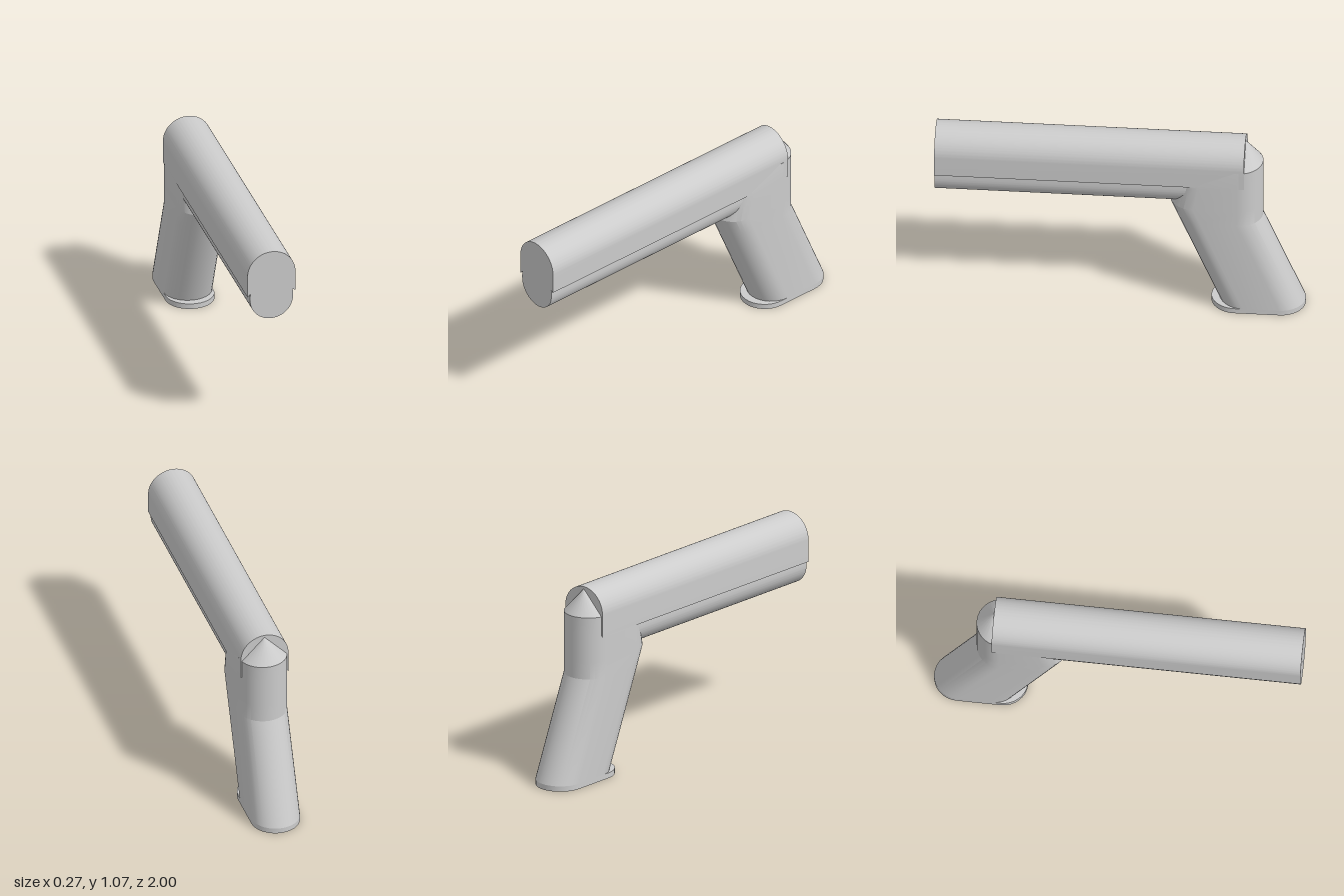
import * as THREE from 'three';
import { toCreasedNormals } from 'three/addons/utils/BufferGeometryUtils.js';

const SEG = 16; // steps per half circle

function addMesh(group, name, geometry) {
  const mat = new THREE.MeshStandardMaterial({ color: 0xcccccc, side: THREE.DoubleSide });
  const mesh = new THREE.Mesh(toCreasedNormals(geometry, 0.3), mat);
  mesh.name = name;
  group.add(mesh);
  return mesh;
}

// Extrude an xy outline between two z positions
function extrudeZ(shape, zBack, zFront) {
  const g = new THREE.ExtrudeGeometry(shape, { depth: zFront - zBack, bevelEnabled: false, curveSegments: 32 });
  return g.translate(0, 0, zBack);
}

// Loft stadium-shaped rings given as [y, zFront, zBack, radius]
function loftStadiums(levels) {
  const pos = [], idx = [], n = 2 * (SEG + 1);
  for (const [y, zf, zb, r] of levels) {
    for (let i = 0; i < n; i++) {
      const front = i <= SEG;
      const a = (Math.PI * (front ? i : i - 1)) / SEG;
      const cz = front ? zf - r : zb + r;
      pos.push(r * Math.cos(a), y, cz + r * Math.sin(a));
    }
  }
  for (let k = 0; k < levels.length - 1; k++) {
    for (let i = 0; i < n; i++) {
      const j = (i + 1) % n, a = k * n + i, b = k * n + j;
      idx.push(a, a + n, b, b, a + n, b + n);
    }
  }
  // end caps
  const top = (levels.length - 1) * n;
  for (let i = 1; i < n - 1; i++) {
    idx.push(0, i, i + 1);
    idx.push(top, top + i + 1, top + i);
  }
  const g = new THREE.BufferGeometry();
  g.setAttribute('position', new THREE.Float32BufferAttribute(pos, 3));
  g.setIndex(idx);
  return g;
}

export function createModel() {
  const group = new THREE.Group();

  // Upper slide: arched shell resting over the lower tube
  const R = 0.134;
  const slide = new THREE.Shape();
  slide.moveTo(R, 0.825);
  slide.lineTo(R, 0.94);
  slide.absarc(0, 0.94, R, 0, Math.PI, false);
  slide.lineTo(-R, 0.815);
  slide.absarc(0, 0.81, 0.12, Math.PI - 0.2, 0.2, true);
  slide.closePath();
  addMesh(group, 'slide', extrudeZ(slide, -0.675, 1));

  // Lower tube, slightly narrower, its rear end buried in the grip
  const tube = new THREE.Shape();
  tube.absarc(0, 0.81, 0.12, 0, Math.PI, false);
  tube.absarc(0, 0.793, 0.12, Math.PI, Math.PI * 2, false);
  tube.closePath();
  addMesh(group, 'lowerTube', extrudeZ(tube, -0.45, 1));

  // Raked grip with upright neck and pointed rear cap
  const grip = addMesh(group, 'grip', loftStadiums([
    [0.03, -0.535, -1, 0.134],
    [0.58, -0.304, -0.77, 0.134],
    [0.675, -0.265, -0.77, 0.134],
    [0.81, -0.29, -0.77, 0.134],
    [0.835, -0.29, -0.77, 0.134],
    [0.93, -0.5, -0.77, 0.134],
    [1.06, -0.672, -0.676, 0.002],
  ]));
  grip.position.x = 0.001;

  // Base plate with a small lip at the front
  addMesh(group, 'basePlate', loftStadiums([
    [0, -0.49, -1, 0.134],
    [0.03, -0.49, -1, 0.134],
  ])).position.x = 0.001;

  return group;
}
